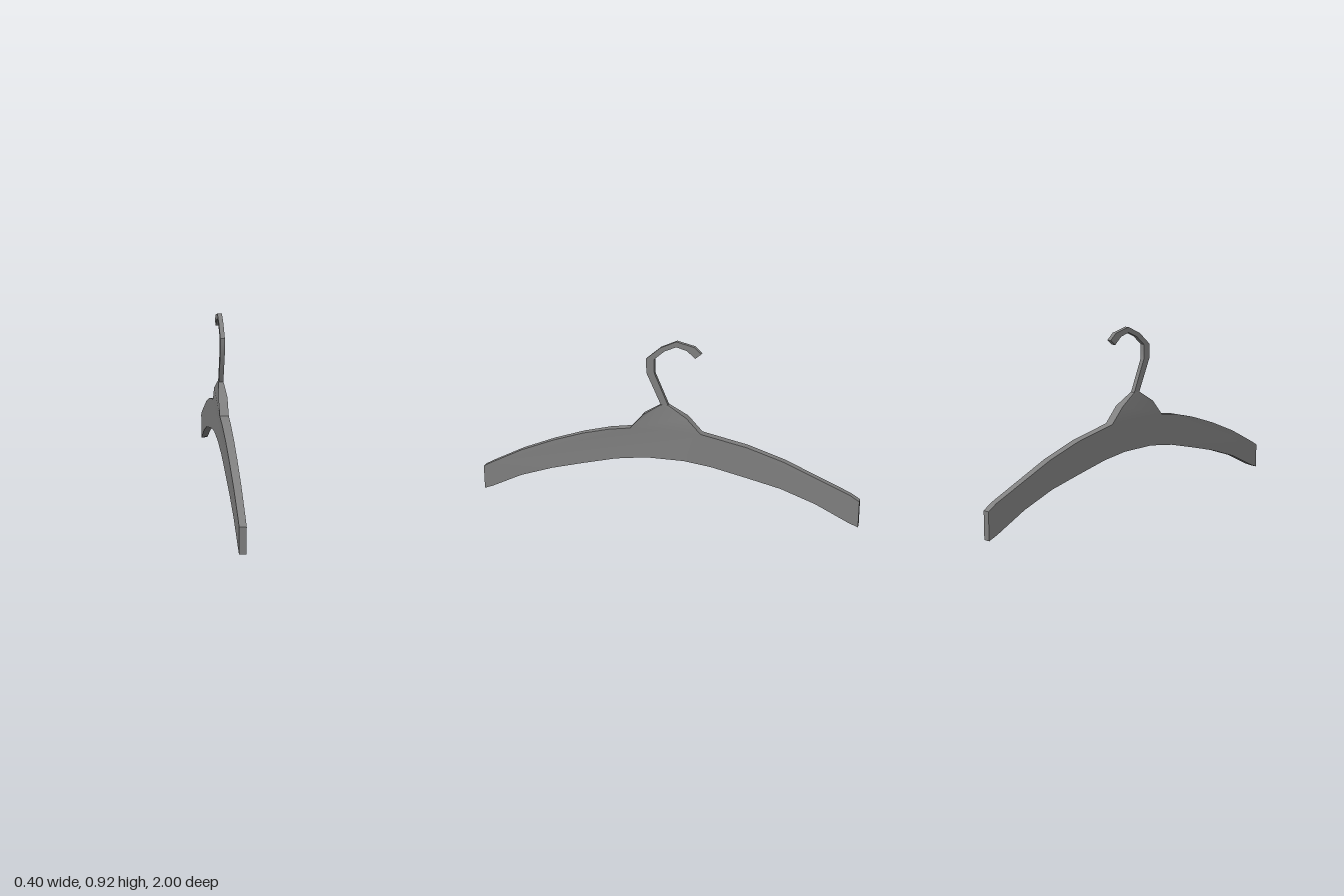
import * as THREE from 'three';
import { toCreasedNormals } from 'three/addons/utils/BufferGeometryUtils.js';

const material = new THREE.MeshStandardMaterial({ color: 0x808080 });

// Extrudes an outline centred on its thickness; halfAt(x, y) gives the half thickness
function slab(name, points, halfAt) {
  const shape = new THREE.Shape(points.map(([x, y]) => new THREE.Vector2(x, y)));
  const geo = new THREE.ExtrudeGeometry(shape, { depth: 1, bevelEnabled: false });
  const p = geo.attributes.position;
  for (let i = 0; i < p.count; i++) {
    p.setZ(i, (p.getZ(i) > 0.5 ? 1 : -1) * halfAt(p.getX(i), p.getY(i)));
  }
  // Smooth along the gentle bends, sharp at the rims and the neck corners
  const mesh = new THREE.Mesh(toCreasedNormals(geo, 0.66), material);
  mesh.name = name;
  return mesh;
}

export function createModel() {
  const group = new THREE.Group();
  group.name = 'coatHanger';

  // Curved arms and neck: one outline, from the front tip over the top and back below
  const body = [
    [1.014, 0], [1.014, 0.13], [0.965, 0.158], [0.79, 0.248], [0.61, 0.322], [0.445, 0.378],
    [0.3, 0.415], [0.185, 0.433], [0.115, 0.514], [0.022, 0.573],
    [-0.016, 0.573], [-0.115, 0.514], [-0.19, 0.434], [-0.43, 0.385], [-0.62, 0.325],
    [-0.965, 0.178], [-1.014, 0.148],
    [-1.014, 0.006], [-0.965, 0.025], [-0.79, 0.111], [-0.61, 0.176], [-0.43, 0.218],
    [-0.245, 0.259], [-0.1, 0.278], [0.1, 0.278], [0.265, 0.254], [0.445, 0.209],
    [0.62, 0.162], [0.8, 0.1], [0.965, 0.019],
  ];
  // Thickest in the middle, thinner at the tips and at the top of the neck
  const bodyHalf = (x, y) => (y > 0.55 ? 0.0125 : 0.017 + 0.007 * (1 - Math.min(1, Math.abs(x))));
  group.add(slab('armsAndNeck', body, bodyHalf));

  // Faceted hook: outer edge, then inner edge back to the neck
  const hook = [
    [0.022, 0.571], [0.099, 0.739], [0.099, 0.814], [0.025, 0.877], [-0.058, 0.915],
    [-0.15, 0.893], [-0.188, 0.86],
    [-0.156, 0.834], [-0.113, 0.871], [-0.058, 0.887], [0.003, 0.86], [0.057, 0.814],
    [0.057, 0.739], [-0.016, 0.571],
  ];
  group.add(slab('hook', hook, () => 0.0115));

  // Arms run mostly front to back, turned slightly off the z axis
  group.rotation.y = THREE.MathUtils.degToRad(-100.4);
  const model = new THREE.Group();
  model.name = 'hanger';
  model.add(group);
  return model;
}
